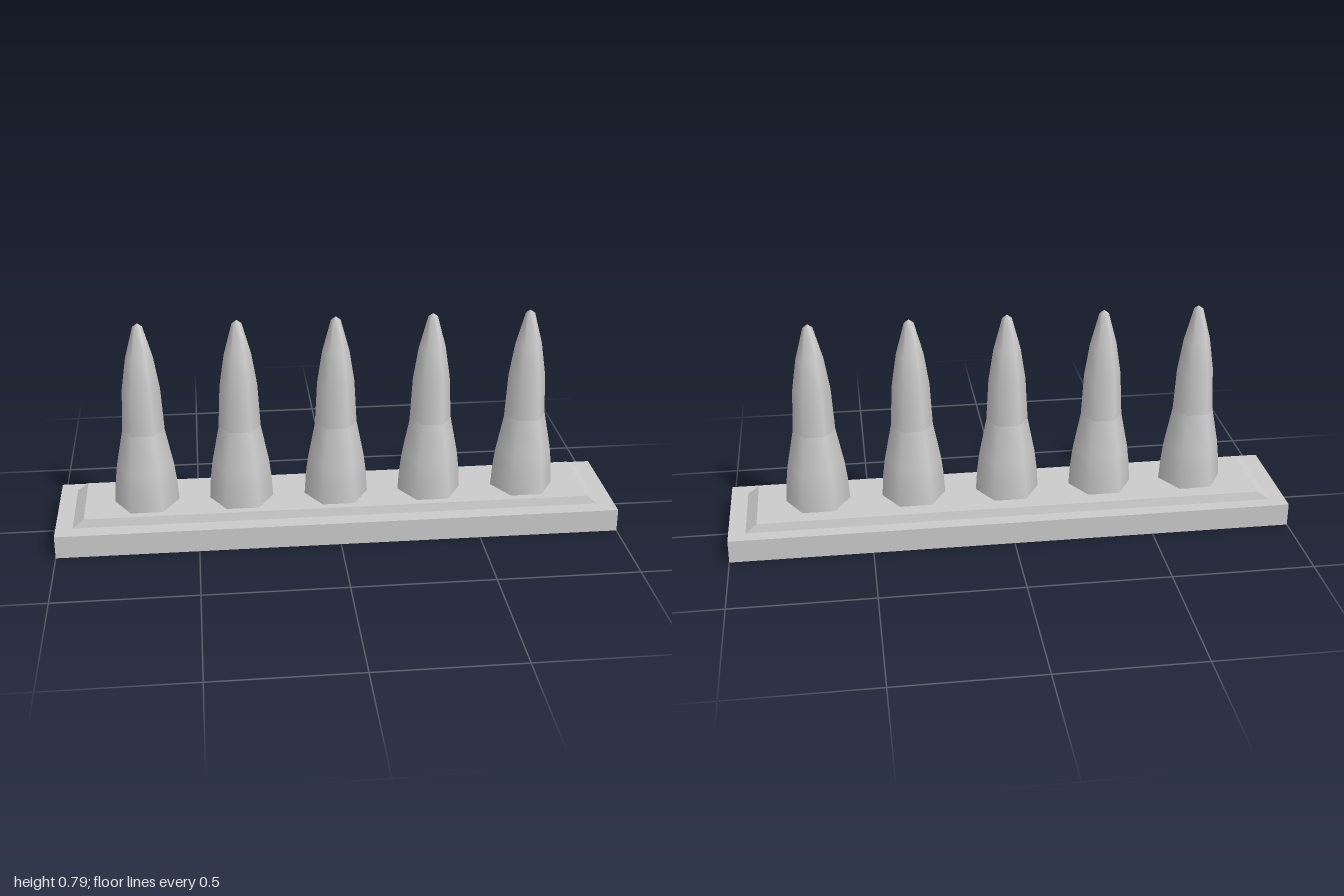
import * as THREE from 'three';

const material = new THREE.MeshStandardMaterial({ color: 0xcccccc, side: THREE.DoubleSide });

function addMesh(parent, name, geometry, x = 0, y = 0, z = 0) {
  const mesh = new THREE.Mesh(geometry, material);
  mesh.name = name;
  mesh.position.set(x, y, z);
  parent.add(mesh);
}

// Six-sided smooth lathe with corners pointing along x
function hexLathe(profile) {
  const points = profile.map(([r, y]) => new THREE.Vector2(r, y));
  return new THREE.LatheGeometry(points, 6, Math.PI / 6);
}

// Box whose top face is pulled in to the given half sizes
function taperedBox(width, height, depth, topX, topZ) {
  const geometry = new THREE.BoxGeometry(width, height, depth);
  const p = geometry.attributes.position;
  for (let i = 0; i < p.count; i++) {
    if (p.getY(i) > 0) {
      p.setX(i, Math.sign(p.getX(i)) * topX);
      p.setZ(i, Math.sign(p.getZ(i)) * topZ);
    }
  }
  geometry.computeVertexNormals();
  return geometry;
}

export function createModel() {
  const model = new THREE.Group();
  model.name = 'spikeStrip';

  // Base slab and bevelled plate
  addMesh(model, 'baseSlab', new THREE.BoxGeometry(2, 0.083, 0.406), 0, 0.0415, 0);
  addMesh(model, 'bevelledPlate', taperedBox(1.88, 0.03, 0.298, 0.9, 0.142), 0, 0.098, -0.004);

  // Row of spikes, each a flared foot and a pointed tip
  const foot = hexLathe([[0.114, 0.112], [0.109, 0.19], [0.101, 0.255], [0.074, 0.392]]);
  const tip = hexLathe([
    [0.0745, 0.39], [0.066, 0.545], [0.048, 0.66], [0.017, 0.775], [0, 0.787],
  ]);
  [-0.68, -0.342, 0, 0.34, 0.684].forEach((x) => {
    const spike = new THREE.Group();
    spike.name = 'spike';
    spike.position.x = x;
    addMesh(spike, 'spikeFoot', foot, 0, 0, 0.011);
    addMesh(spike, 'spikeTip', tip, 0, 0, 0.008);
    model.add(spike);
  });

  return model;
}
